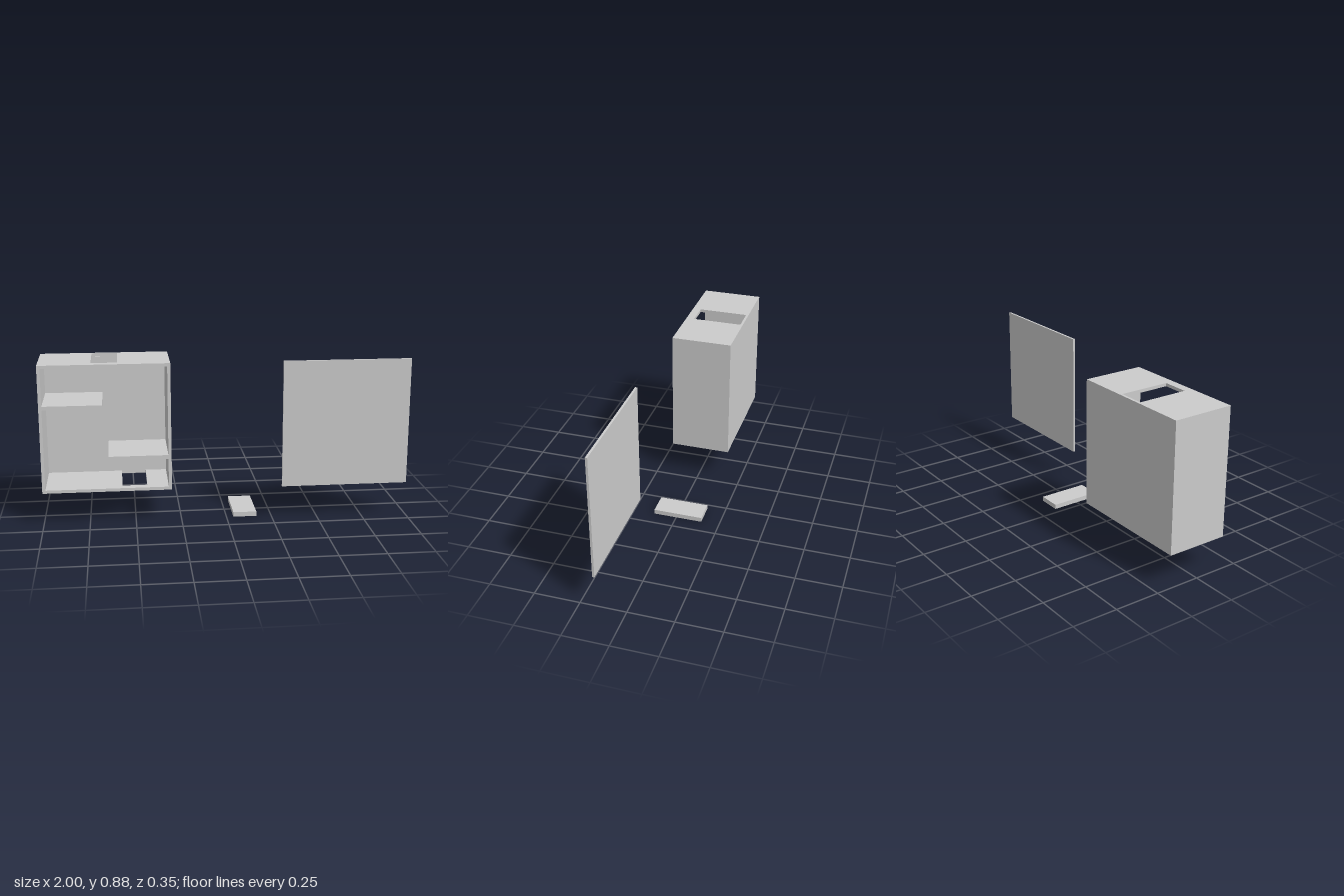
import * as THREE from 'three';

const material = new THREE.MeshStandardMaterial({ color: 0xcccccc, flatShading: true });

// Box between two corners
function block(name, [x0, x1], [y0, y1], [z0, z1]) {
  const mesh = new THREE.Mesh(new THREE.BoxGeometry(x1 - x0, y1 - y0, z1 - z0), material);
  mesh.position.set((x0 + x1) / 2, (y0 + y1) / 2, (z0 + z1) / 2);
  mesh.name = name;
  return mesh;
}

// Closed rectangle as points in the x / -z plane
function rectangle([x0, x1], [z0, z1]) {
  return [[x0, -z1], [x1, -z1], [x1, -z0], [x0, -z0]].map(([x, y]) => new THREE.Vector2(x, y));
}

// Horizontal plate with a rectangular slot through it
function slottedPlate(name, xs, zs, y, thickness, slotX, slotZ) {
  const shape = new THREE.Shape(rectangle(xs, zs));
  shape.holes.push(new THREE.Path(rectangle(slotX, slotZ)));
  const geometry = new THREE.ExtrudeGeometry(shape, { depth: thickness, bevelEnabled: false });
  geometry.rotateX(-Math.PI / 2);
  const mesh = new THREE.Mesh(geometry, material);
  mesh.position.y = y;
  mesh.name = name;
  return mesh;
}

export function createModel() {
  const model = new THREE.Group();
  model.name = 'boxWithCoverAndPlate';

  const left = -0.302, right = -1, bottom = 0.183, top = 0.883;
  const back = -0.175, front = 0.163, wall = 0.017;
  const innerX = [right + wall, left - wall];
  const innerY = [bottom + wall, top - wall];
  const slotZ = [-0.161, 0.117];

  // Open-fronted box
  const box = new THREE.Group();
  box.name = 'box';
  box.add(
    slottedPlate('boxTop', [right, left], [back, front], top - wall, wall, [-0.72, -0.58], slotZ),
    slottedPlate('boxBottom', [right, left], [back, front], bottom, wall, [-0.57, -0.435], slotZ),
    block('rightWall', [right, innerX[0]], innerY, [back, front]),
    block('leftWall', [innerX[1], left], innerY, [back, front]),
    block('backWall', innerX, innerY, [back, back + wall]),
    // Staggered shelves
    block('upperShelf', [innerX[0], -0.666], [0.643, 0.664], [back + wall, front]),
    block('lowerShelf', [-0.641, innerX[1]], [0.358, 0.379], [back + wall, front])
  );
  model.add(box);

  // Separate front cover and loose slot plate
  model.add(
    block('frontCover', [0.302, 1], [bottom, top], [front, 0.175]),
    block('slotPlate', [0.038, 0.167], [0, 0.026], [-0.147, 0.129])
  );
  return model;
}
